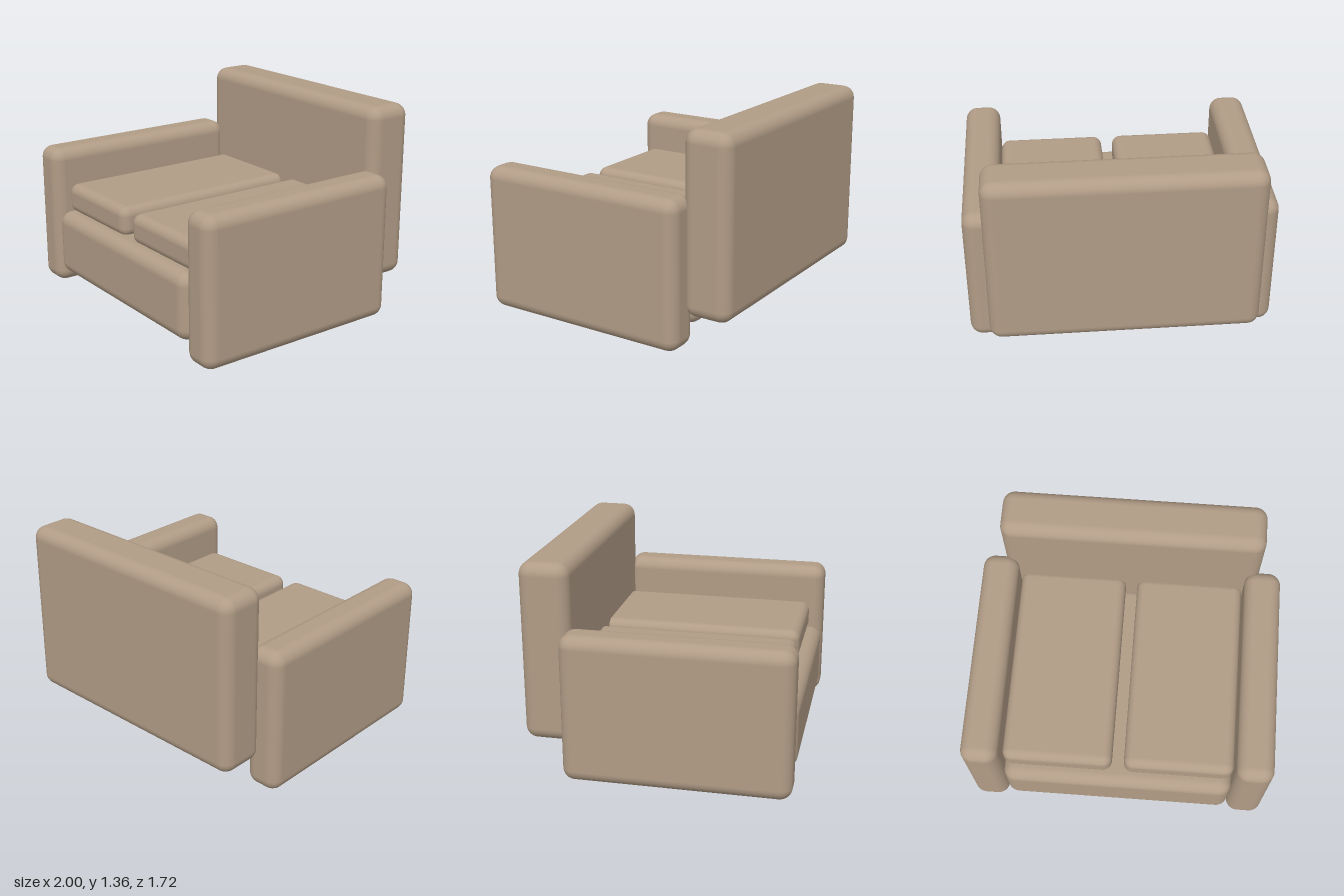
import * as THREE from 'three';
import { RoundedBoxGeometry } from 'three/addons/geometries/RoundedBoxGeometry.js';

export function createModel() {
  const sofa = new THREE.Group();
  sofa.name = 'sofa';

  const fabric = new THREE.MeshStandardMaterial({ color: 0xb19c86 });
  fabric.name = 'beige fabric';

  // Padded block spanning the given minimum and maximum corners
  function pad(name, [x0, y0, z0], [x1, y1, z1], radius) {
    const geometry = new RoundedBoxGeometry(x1 - x0, y1 - y0, z1 - z0, 5, radius);
    const mesh = new THREE.Mesh(geometry, fabric);
    mesh.name = name;
    mesh.position.set((x0 + x1) / 2, (y0 + y1) / 2, (z0 + z1) / 2);
    sofa.add(mesh);
    return mesh;
  }

  pad('seatBase', [-0.76, 0.10, -0.58], [0.76, 0.54, 0.86], 0.08);
  pad('backrest', [-0.86, 0.20, -0.86], [0.86, 1.36, -0.54], 0.08);

  // Mirrored arms and loose cushions
  for (const [side, s] of [['left', 1], ['right', -1]]) {
    const arm = pad(side + 'Arm', [0.76, 0, -0.58], [1, 0.96, 0.86], 0.08);
    const cushion = pad(side + 'Cushion', [0.04, 0.52, -0.58], [0.76, 0.72, 0.77], 0.06);
    arm.position.x *= s;
    cushion.position.x *= s;
  }

  return sofa;
}
